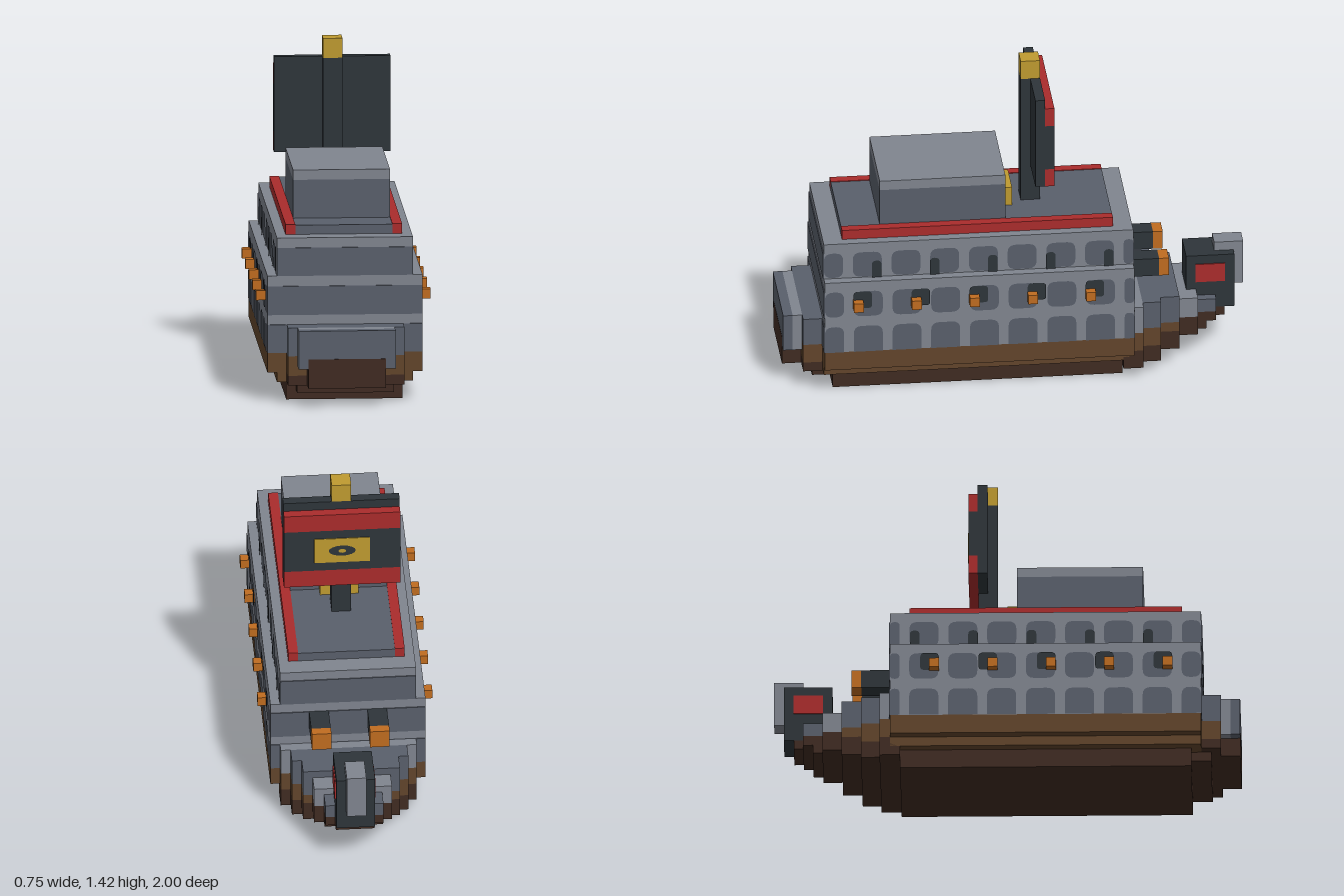
import * as THREE from 'three';

const mat = (name, color) => {
  const m = new THREE.MeshStandardMaterial({ color });
  m.name = name;
  return m;
};

export function createModel() {
  const light = mat('light stone grey', 0x80858f);
  const slate = mat('slate grey', 0x595f6b);
  const dark = mat('charcoal', 0x2e353a);
  const brown = mat('plank brown', 0x62452b);
  const umber = mat('keel brown', 0x402b22);
  const red = mat('trim red', 0xaa2c2c);
  const gold = mat('gold', 0xbf9b30);
  const orange = mat('copper orange', 0xc06c20);

  const ship = new THREE.Group();
  ship.name = 'blockShip';

  // Box given by its extents
  const box = (name, m, x0, x1, y0, y1, z0, z1) => {
    const mesh = new THREE.Mesh(new THREE.BoxGeometry(x1 - x0, y1 - y0, z1 - z0), m);
    mesh.position.set((x0 + x1) / 2, (y0 + y1) / 2, (z0 + z1) / 2);
    mesh.name = name;
    ship.add(mesh);
    return mesh;
  };
  // Box centred on x
  const mid = (name, m, hw, y0, y1, z0, z1) => box(name, m, -hw, hw, y0, y1, z0, z1);
  // Same box on both sides
  const pair = (name, m, x0, x1, y0, y1, z0, z1) => {
    box(name + 'Left', m, x0, x1, y0, y1, z0, z1);
    box(name + 'Right', m, -x1, -x0, y0, y1, z0, z1);
  };

  // Hull planking
  mid('keel', umber, 0.25, 0, 0.083, -0.458, 0.79);
  mid('lowerPlanks', brown, 0.292, 0.083, 0.125, -0.5, 0.833);
  mid('upperPlanks', brown, 0.333, 0.125, 0.21, -0.5, 0.833);

  // Armoured decks
  mid('lowerArmour', light, 0.333, 0.21, 0.545, -0.5, 0.833);
  mid('upperArmour', light, 0.292, 0.545, 0.71, -0.5, 0.833);
  for (const [z0, z1] of [[0.833, 0.837], [-0.504, -0.5]]) {
    mid('endPanel', slate, 0.333, 0.21, 0.333, z0, z1);
    mid('endPanel', slate, 0.333, 0.375, 0.5, z0, z1);
    mid('endPanel', slate, 0.292, 0.545, 0.667, z0, z1);
  }

  // Stepped bow: half width, bottom, z range, plank top split, armour colour
  const bow = [
    [0.292, 0.042, -0.545, -0.458, 0.125, light],
    [0.25, 0.05, -0.625, -0.545, 0.125, slate],
    [0.208, 0.083, -0.708, -0.625, 0.167, slate],
    [0.167, 0.125, -0.792, -0.708, 0.21, light],
    [0.125, 0.13, -0.833, -0.792, 0.21, slate],
    [0.125, 0.167, -0.875, -0.833, 0.21, slate],
    [0.083, 0.17, -0.915, -0.875, 0.21, null],
  ];
  for (const [hw, y, z0, z1, split, m] of bow) {
    mid('bowKeel', umber, hw, y, split, z0, z1);
    if (split < 0.21) mid('bowPlanks', brown, hw, split, 0.21, z0, z1);
    if (m) mid('bowArmour', m, hw, 0.21, z0 < -0.8 ? 0.27 : z0 < -0.75 ? 0.3 : 0.333, z0, z1);
  }

  // Stepped stern
  mid('sternKeel', umber, 0.208, 0.042, 0.083, 0.79, 0.875);
  mid('sternBottom', umber, 0.25, 0.083, 0.125, 0.833, 0.917);
  mid('sternPlanks', brown, 0.25, 0.125, 0.21, 0.833, 0.917);
  mid('sternLip', umber, 0.167, 0.083, 0.21, 0.917, 1);
  mid('sternArmour', slate, 0.25, 0.21, 0.333, 0.833, 0.917);
  mid('sternBand', light, 0.208, 0.167, 0.333, 0.917, 0.958);
  mid('sternEnd', slate, 0.208, 0.167, 0.333, 0.958, 0.999);

  // Rounded plate lying on a side wall; corner radii for bottom and top
  const plate = (name, m, x, y0, y1, z0, z1, rb, rt) => {
    const s = new THREE.Shape();
    s.moveTo(z0 + rb, y0);
    s.lineTo(z1 - rb, y0);
    s.quadraticCurveTo(z1, y0, z1, y0 + rb);
    s.lineTo(z1, y1 - rt);
    s.quadraticCurveTo(z1, y1, z1 - rt, y1);
    s.lineTo(z0 + rt, y1);
    s.quadraticCurveTo(z0, y1, z0, y1 - rt);
    s.lineTo(z0, y0 + rb);
    s.quadraticCurveTo(z0, y0, z0 + rb, y0);
    const g = new THREE.ShapeGeometry(s, 4);
    for (const side of [1, -1]) {
      const shape = side > 0 ? g.clone().scale(-1, 1, 1) : g;
      const mesh = new THREE.Mesh(shape, m);
      if (side > 0) { // turn the winding back after mirroring
        const ix = shape.index.array;
        for (let i = 0; i < ix.length; i += 3) [ix[i], ix[i + 1]] = [ix[i + 1], ix[i]];
        shape.computeVertexNormals();
      }
      mesh.rotation.y = side * Math.PI / 2;
      mesh.position.x = side * x;
      mesh.name = name;
      ship.add(mesh);
    }
  };

  // Slate scales along the sides
  for (let k = 0; k < 9; k++) {
    const end = Math.min(0.833, 0.875 - k * 0.1667);
    const start = Math.max(-0.5, 0.75 - k * 0.1667);
    const r = Math.min(0.035, (end - start) / 2.2);
    plate('lowerScale', slate, 0.336, 0.21, 0.333, start, end, 0, r);
    plate('middleScale', slate, 0.336, 0.38, 0.5, start, end, r, r);
    plate('upperScale', slate, 0.295, 0.55, 0.667, start, end, r, r);
  }

  // Gun ports, side cannons and small windows
  for (let k = 0; k < 5; k++) {
    const z = 0.69 - k * 0.25;
    plate('gunPort', dark, 0.339, 0.42, 0.5, z - 0.06, z + 0.02, 0.015, 0.02);
    pair('sideCannon', orange, 0.333, 0.375, 0.418, 0.46, z - 0.021, z + 0.021);
    plate('window', dark, 0.298, 0.545, 0.625, z - 0.105, z - 0.063, 0, 0.02);
  }

  // Bow cannons
  pair('bowCannon', dark, 0.083, 0.167, 0.418, 0.5, -0.625, -0.5);
  pair('bowMuzzle', orange, 0.083, 0.167, 0.418, 0.5, -0.667, -0.625);

  // Figurehead
  mid('figurehead', dark, 0.083, 0.21, 0.46, -0.958, -0.75);
  mid('figureheadSnout', light, 0.042, 0.3, 0.5, -1, -0.875);
  pair('figureheadCheek', red, 0.083, 0.088, 0.335, 0.42, -0.917, -0.79);

  // Roof deck, rails and cabin
  mid('roofDeck', slate, 0.208, 0.71, 0.75, -0.417, 0.75);
  pair('rail', red, 0.208, 0.25, 0.71, 0.753, -0.417, 0.75);
  mid('cabin', slate, 0.208, 0.75, 0.917, 0.042, 0.583);
  mid('cabinRoof', light, 0.208, 0.917, 0.96, 0.042, 0.583);
  mid('cabinSeat', gold, 0.083, 0.75, 0.835, 0, 0.042);

  // Mast, sail and banner
  mid('mast', dark, 0.042, 0.75, 1.333, -0.125, -0.042);
  mid('mastCap', gold, 0.042, 1.333, 1.418, -0.125, -0.042);
  mid('sail', dark, 0.25, 0.918, 1.333, -0.125, -0.083);
  mid('bannerLowerStripe', red, 0.25, 0.918, 1.0, -0.165, -0.125);
  mid('bannerField', dark, 0.25, 1.0, 1.208, -0.165, -0.125);
  mid('bannerUpperStripe', red, 0.25, 1.208, 1.292, -0.165, -0.125);
  mid('bannerEmblem', gold, 0.12, 1.042, 1.167, -0.168, -0.165);
  const oval = (name, m, rx, ry, z) => {
    const mesh = new THREE.Mesh(new THREE.CircleGeometry(1, 16), m);
    mesh.scale.set(rx, ry, 1);
    mesh.rotation.y = Math.PI;
    mesh.position.set(0, 1.104, z);
    mesh.name = name;
    ship.add(mesh);
  };
  oval('emblemEye', dark, 0.058, 0.027, -0.17);
  oval('emblemPupil', gold, 0.016, 0.01, -0.172);

  return ship;
}
